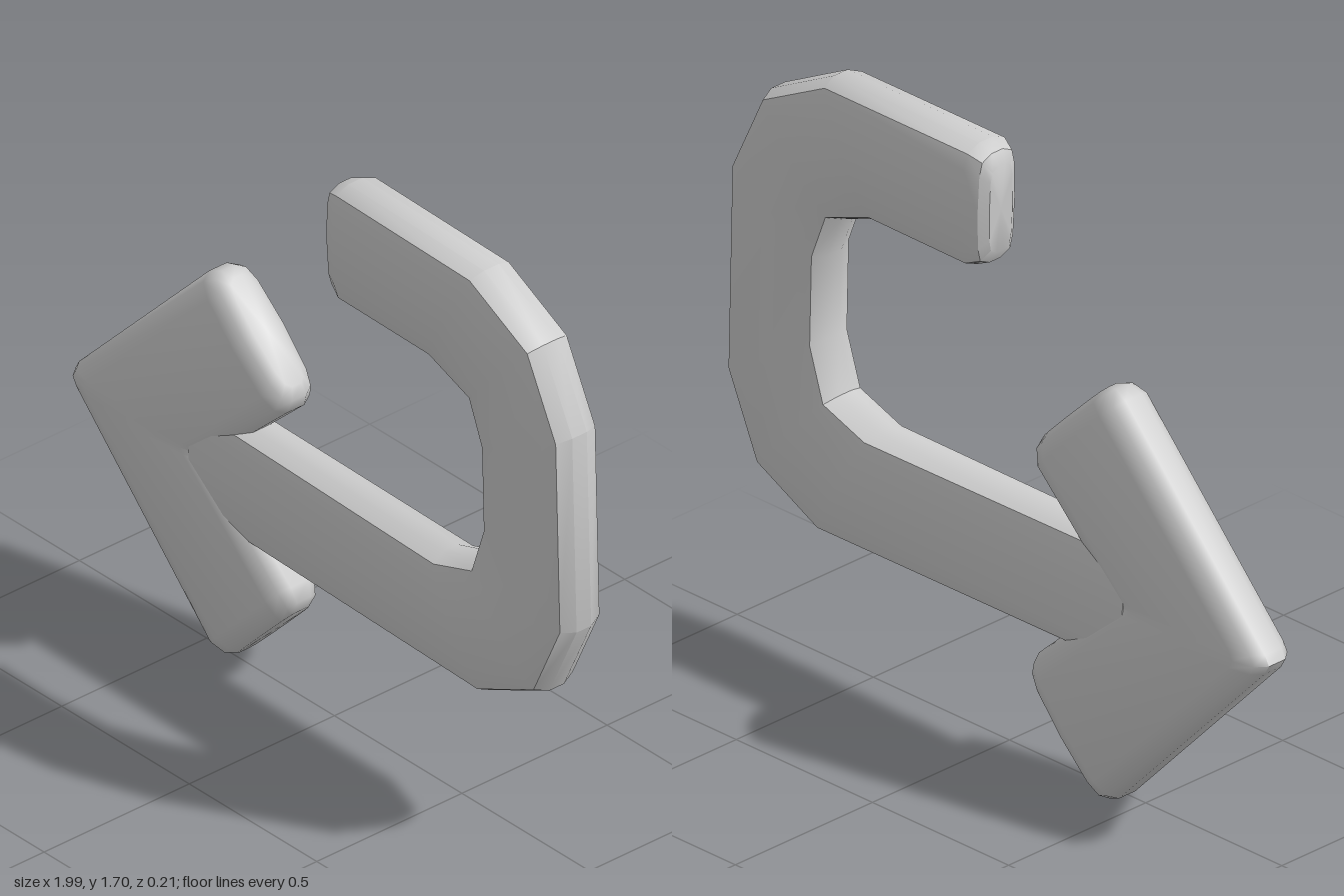
import * as THREE from 'three';
import { toCreasedNormals } from 'three/addons/utils/BufferGeometryUtils.js';

// Closed ring across the bar: [fraction from outer to inner edge, z]
function ring(half) {
  const front = [...half, ...half.slice(0, -1).reverse().map(([t, z]) => [1 - t, z])];
  return [...front, ...front.slice().reverse().map(([t, z]) => [t, -z])];
}

// Three stations that round off an end; [dx, dy] points into the bar
function roundedEnd(outer, inner, [dx, dy]) {
  const w = Math.hypot(inner[0] - outer[0], inner[1] - outer[1]);
  const ux = (inner[0] - outer[0]) / w, uy = (inner[1] - outer[1]) / w;
  return [[0, 0.05, 0.5], [0.018, 0.018, 0.8], [0.06, 0, 1]].map(([d, s, zs]) => [
    outer[0] + dx * d + ux * s, outer[1] + dy * d + uy * s,
    inner[0] + dx * d - ux * s, inner[1] + dy * d - uy * s, zs]);
}

// Whole sign leans slightly forward at the top and to its left
const lean = (x, y) => -0.005 + 0.025 * (y - 0.6) + 0.012 * x;

// Loft the ring through stations [outerX, outerY, innerX, innerY, depth scale]
function loftBar(stations, section, crease) {
  const n = section.length, pos = [], idx = [];
  const add = (x, y, z) => pos.push(x, y, z + lean(x, y));
  for (const [ox, oy, ix, iy, zs] of stations)
    for (const [t, z] of section) add(ox + (ix - ox) * t, oy + (iy - oy) * t, z * zs);
  const last = stations.length - 1;
  for (const s of [stations[0], stations[last]]) add((s[0] + s[2]) / 2, (s[1] + s[3]) / 2, 0);
  const c0 = stations.length * n, c1 = c0 + 1;
  for (let j = 0; j < n; j++) {
    const k = (j + 1) % n;
    for (let i = 0; i < last; i++) {
      const a = i * n + j, b = i * n + k;
      idx.push(a, b, b + n, a, b + n, a + n);
    }
    idx.push(c0, k, j, c1, last * n + j, last * n + k);
  }
  const g = new THREE.BufferGeometry();
  g.setAttribute('position', new THREE.Float32BufferAttribute(pos, 3));
  g.setIndex(idx);
  return toCreasedNormals(g, crease);
}

export function createModel() {
  const group = new THREE.Group();
  group.name = 'turnArrow';
  const grey = new THREE.MeshStandardMaterial({ color: 0xcccccc });
  grey.name = 'grey';

  // Hooked shaft
  const hook = [
    ...roundedEnd([0.05, 1.7], [0.05, 1.35], [1, 0]),
    [0.65, 1.695, 0.46, 1.35, 1],
    [0.88, 1.575, 0.615, 1.295, 1],
    [0.99, 1.34, 0.66, 1.17, 1],
    [0.99, 0.74, 0.66, 0.93, 1],
    [0.875, 0.505, 0.61, 0.785, 1],
    [0.645, 0.395, 0.46, 0.735, 1],
    [-0.5, 0.405, -0.5, 0.745, 0.88],
  ];
  const hookSection = ring([[0, 0.025], [0.05, 0.068], [0.17, 0.08], [0.5, 0.085]]);
  const shaft = new THREE.Mesh(loftBar(hook, hookSection, 0.55), grey);
  shaft.name = 'hookedShaft';
  group.add(shaft);

  // Chevron arrowhead
  const d = Math.SQRT1_2;
  const chevron = [
    ...roundedEnd([-0.415, -0.025], [-0.11, 0.285], [-d, d]),
    [-0.985, 0.57, -0.43, 0.582, 1],
    [-1, 0.597, -0.445, 0.597, 1],
    [-0.985, 0.624, -0.43, 0.612, 1],
    ...roundedEnd([-0.41, 1.205], [-0.11, 0.91], [-d, -d]).reverse(),
  ];
  const headSection = ring([[0, 0.03], [0.045, 0.062], [0.16, 0.078], [0.5, 0.085]]);
  const head = new THREE.Mesh(loftBar(chevron, headSection, 0.95), grey);
  head.name = 'arrowhead';
  group.add(head);
  return group;
}
